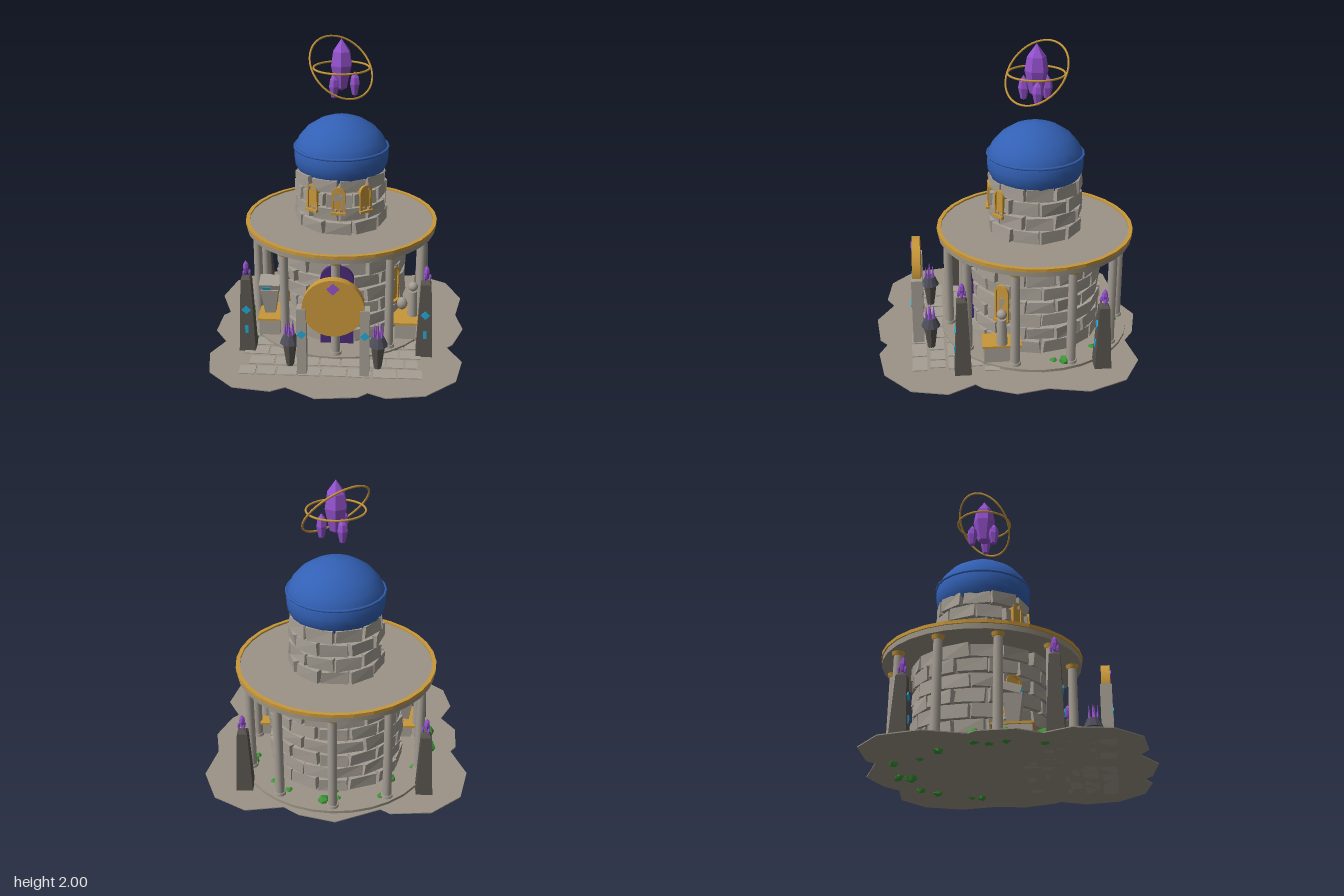
import * as THREE from 'three';

const mat = (name, color) => Object.assign(new THREE.MeshStandardMaterial({ color }), { name });
const M = {
  ground: mat('ground', 0x9c9486), stone: mat('stone', 0xa59e94), gold: mat('gold', 0xc8973a),
  blue: mat('domeBlue', 0x3260b4), crystal: mat('crystal', 0x9552cf), door: mat('doorPurple', 0x4a2a7a),
  leaf: mat('leaf', 0x3c9636), rune: mat('rune', 0x22aad6), dark: mat('darkStone', 0x58534d), iron: mat('iron', 0x4c4d59),
};

let seed = 7;
const rnd = (a = 1) => { seed = (seed * 16807) % 2147483647; return (seed / 2147483647 - 0.5) * 2 * a; };

function add(parent, name, geo, material, x = 0, y = 0, z = 0) {
  const m = new THREE.Mesh(geo, material);
  m.name = name;
  m.position.set(x, y, z);
  parent.add(m);
  return m;
}
function group(parent, name, x = 0, y = 0, z = 0, ry = 0) {
  const g = new THREE.Group();
  g.name = name;
  g.position.set(x, y, z);
  g.rotation.y = ry;
  parent.add(g);
  return g;
}
function flat(geo) {
  const g = geo.index ? geo.toNonIndexed() : geo;
  g.computeVertexNormals();
  return g;
}
const box = (w, h, d) => new THREE.BoxGeometry(w, h, d);
const cyl = (rt, rb, h, n = 16) => new THREE.CylinderGeometry(rt, rb, h, n);
const lathe = (pts, n) => new THREE.LatheGeometry(pts.map(p => new THREE.Vector2(...p)), n);

// Six-sided gem from its base at y = 0
const gem = (r, h) => flat(lathe([[0, 0], [r * 0.55, h * 0.07], [r, h * 0.5], [r * 0.8, h * 0.76], [0, h]], 6));

// Rough block: chamfered on the outer (+z) face, corners nudged
function block(w, h, d) {
  const g = box(w, h, d).toNonIndexed(), p = g.attributes.position;
  const n = [...Array(8)].map(() => [rnd(0.006), rnd(0.005), rnd(0.006)]);
  for (let i = 0; i < p.count; i++) {
    const x = p.getX(i), y = p.getY(i), z = p.getZ(i);
    const j = n[(x > 0) + 2 * (y > 0) + 4 * (z > 0)], s = z > 0 ? 0.94 : 1;
    p.setXYZ(i, x * s + j[0], y * s + j[1], z + j[2]);
  }
  g.computeVertexNormals();
  return g;
}

// Arched panel, base at y = 0, with optional hole making it a frame
function arch(w, h, depth, rim = 0) {
  const outline = (s, w, h, y0) => {
    s.moveTo(-w / 2, y0); s.lineTo(w / 2, y0); s.lineTo(w / 2, h - w / 2);
    s.absarc(0, h - w / 2, w / 2, 0, Math.PI, false); s.lineTo(-w / 2, y0);
    return s;
  };
  const s = outline(new THREE.Shape(), w, h, 0);
  if (rim) s.holes.push(outline(new THREE.Path(), w - 2 * rim, h - rim, rim));
  return new THREE.ExtrudeGeometry(s, { depth, bevelEnabled: false, curveSegments: 8 });
}

// Rings of bricks around a core
function brickTower(parent, name, r, y0, rows, rowH, count) {
  const g = group(parent, name);
  add(g, 'core', cyl(r - 0.025, r - 0.025, rows * rowH, 28), M.stone, 0, y0 + rows * rowH / 2);
  const w = 2 * Math.PI * r / count - 0.008;
  for (let i = 0; i < rows; i++) for (let k = 0; k < count; k++) {
    const a = (k + (i % 2) / 2) / count * Math.PI * 2 + rnd(0.015), rr = r - 0.045 + rnd(0.006);
    const b = add(g, 'brick', block(w, rowH - 0.008, 0.09), M.stone, Math.sin(a) * rr, y0 + (i + 0.5) * rowH, Math.cos(a) * rr);
    b.rotation.set(0, a + rnd(0.02), rnd(0.02));
  }
}

function windowAt(parent, angle, r, y, w, h) {
  const g = group(parent, 'window', Math.sin(angle) * r, y, Math.cos(angle) * r, angle);
  add(g, 'windowPane', arch(w - 0.01, h, 0.03), M.gold, 0, 0, -0.03);
  add(g, 'windowFrame', arch(w, h, 0.04, 0.014), M.gold, 0, 0, -0.03);
  add(g, 'windowSill', box(w + 0.005, 0.016, 0.045), M.gold, 0, 0.008, 0);
}

function diamond(parent, material, size, x, y, z) {
  add(parent, 'diamond', box(size, size, 0.008), material, x, y, z).rotation.z = Math.PI / 4;
}

function gemCluster(parent, r, h, x, y, z) {
  const g = group(parent, 'gemCluster', x, y, z);
  add(g, 'mainGem', gem(r, h), M.crystal, 0, h * 0.1, 0);
  for (let k = 0; k < 3; k++) {
    const a = k * Math.PI * 2 / 3;
    add(g, 'sideGem', gem(r * 0.47, h * 0.48), M.crystal, Math.cos(a) * r * 1.15, 0, Math.sin(a) * r * 1.15);
  }
}

function obelisk(parent, x, z, h) {
  const g = group(parent, 'obelisk', x, 0.04, z);
  add(g, 'shaft', flat(cyl(0.046, 0.076, h, 4).rotateY(Math.PI / 4)), M.dark, 0, h / 2);
  add(g, 'cap', flat(cyl(0.03, 0.046, 0.012, 4).rotateY(Math.PI / 4)), M.dark, 0, h + 0.006);
  gemCluster(g, 0.02, 0.095, 0, h + 0.02, 0);
  const face = y => 0.054 - 0.0215 * y / h + 0.002;
  diamond(g, M.rune, 0.042, 0, 0.3, face(0.3));
  add(g, 'rune', box(0.022, 0.05, 0.008), M.rune, 0, 0.16, face(0.16));
}

export function createModel() {
  const root = new THREE.Group();
  root.name = 'observatory';

  // Ground slab
  const edge = [[-.02, -.9], [.21, -.84], [.31, -.77], [.55, -.81], [.76, -.69], [.86, -.45], [.81, -.2], [.85, 0], [.77, .21], [.73, .25],
    [.82, .42], [.77, .65], [.58, .82], [.34, .86], [.23, .81], [.17, .86], [-.09, .89], [-.28, .78], [-.37, .83], [-.61, .8], [-.78, .64],
    [-.82, .42], [-.74, .26], [-.83, .12], [-.82, -.09], [-.78, -.14], [-.87, -.38], [-.81, -.63], [-.62, -.79], [-.36, -.81], [-.3, -.77]];
  const slab = new THREE.Shape(edge.map(([x, z]) => new THREE.Vector2(x, -z)));
  add(root, 'ground', new THREE.ExtrudeGeometry(slab, { depth: 0.006, bevelEnabled: false }).rotateX(-Math.PI / 2), M.ground, 0, 0.034);

  // Paving in staggered rows
  const paving = group(root, 'paving');
  for (let r = 0; r < 5; r++) {
    let x = r % 2 ? -0.55 : -0.6;
    const end = r % 2 ? 0.54 : 0.6;
    while (x < end - 0.06) {
      const w = Math.min(0.145 + rnd(0.03), end - x);
      const p = add(paving, 'pavingStone', box(w - 0.012, 0.012, 0.095), M.stone, x + w / 2, 0.04, 0.6 - r * 0.117 + rnd(0.005));
      p.rotation.y = rnd(0.03);
      x += w;
    }
  }

  // Tower, terrace roof and dome
  const tower = group(root, 'tower', 0.003, 0, -0.188);
  add(tower, 'platform', cyl(0.635, 0.635, 0.022, 32), M.ground, 0, 0.047);
  brickTower(tower, 'lowerTower', 0.435, 0.055, 7, 0.096, 14);
  add(tower, 'terrace', cyl(0.64, 0.64, 0.045, 32), M.ground, 0, 0.7475);
  add(tower, 'terraceRim', lathe([[0.622, 0.76], [0.648, 0.76], [0.648, 0.782], [0.622, 0.782], [0.622, 0.76]], 32).toNonIndexed(), M.gold).geometry.computeVertexNormals();
  brickTower(tower, 'upperTower', 0.295, 0.77, 4, 0.096, 10);
  add(tower, 'dome', lathe([[.25, 1.09], [.285, 1.13], [.307, 1.18], [.313, 1.23], [.308, 1.29], [.28, 1.35], [.228, 1.41], [.15, 1.46], [.08, 1.485], [0, 1.495]], 24), M.blue);
  add(tower, 'domeBand', new THREE.TorusGeometry(0.31, 0.009, 6, 24).rotateX(Math.PI / 2), M.blue, 0, 1.29);

  // Colonnade
  for (let k = 0; k < 10; k++) {
    const a = k * Math.PI / 5, c = group(tower, 'column', Math.sin(a) * 0.58, 0, Math.cos(a) * 0.58, a);
    add(c, 'columnShaft', cyl(0.028, 0.031, 0.65, 10), M.stone, 0, 0.38);
    add(c, 'columnBase', cyl(0.037, 0.04, 0.022, 10), M.stone, 0, 0.066);
    add(c, 'columnCapital', cyl(0.042, 0.034, 0.025, 10), M.gold, 0, 0.713);
  }

  // Door and windows
  add(tower, 'door', arch(0.22, 0.57, 0.04), M.door, 0, 0.055, 0.415);
  add(tower, 'doorKnob', new THREE.SphereGeometry(0.012, 8, 6), M.gold, 0.07, 0.275, 0.46);
  for (const a of [-1, 0, 1]) windowAt(tower, a * 0.61, 0.3, 0.92, 0.088, 0.185);
  for (const s of [-1, 1]) windowAt(tower, s * 0.98, 0.445, 0.27, 0.1, 0.26);

  // Floating crystal with two rings
  const float = group(tower, 'floatingCrystal');
  gemCluster(float, 0.075, 0.34, 0, 1.627, 0);
  add(float, 'levelRing', new THREE.TorusGeometry(0.18, 0.007, 6, 40).rotateX(Math.PI / 2), M.gold, 0, 1.812);
  const ring = add(float, 'tiltedRing', new THREE.TorusGeometry(0.228, 0.007, 6, 40), M.gold, 0, 1.815);
  ring.quaternion.setFromUnitVectors(new THREE.Vector3(0, 0, 1), new THREE.Vector3(0.51, 0.63, 0.58).normalize());

  // Gate: two pillars holding a gold disc
  const gate = group(root, 'gate', 0.003, 0, 0.602);
  add(gate, 'gateDisc', cyl(0.192, 0.192, 0.055, 28).rotateX(Math.PI / 2), M.gold, 0, 0.51);
  diamond(gate, M.crystal, 0.056, 0, 0.645, 0.029);
  for (const s of [-1, 1]) {
    add(gate, 'gatePillar', box(0.06, 0.465, 0.072), M.stone, s * 0.196, 0.272);
    diamond(gate, M.rune, 0.042, s * 0.196, 0.33, 0.037);
  }

  for (const s of [-1, 1]) {
    obelisk(root, s * 0.577, 0.323, 0.51);
    obelisk(root, s * 0.577, -0.565, 0.425);

    // Braziers with crystal flames
    const b = group(root, 'brazier', s * 0.28, 0, 0.52);
    add(b, 'brazierStem', flat(cyl(0.046, 0.024, 0.17, 8)), M.dark, 0, 0.122);
    add(b, 'brazierBowl', flat(cyl(0.036, 0.063, 0.06, 10)), M.iron, 0, 0.235);
    for (let k = 0; k < 6; k++) {
      const a = k * Math.PI * 2 / 5, r = k < 5 ? 0.027 : 0, h = k < 5 ? 0.1 : 0.12;
      add(b, 'brazierFlame', flat(cyl(0, 0.012, h, 5)), M.crystal, Math.sin(a) * r, 0.25 + h / 2, Math.cos(a) * r);
    }

    // Side plinths
    const p = group(root, 'plinth', s * 0.455, 0, 0.07);
    add(p, 'plinthBody', box(0.14, 0.12, 0.19), M.stone, 0, 0.108, 0.02);
    add(p, 'plinthTop', box(0.16, 0.014, 0.25), M.gold, 0, 0.174, 0);
  }

  // Statue on the left plinth
  const statue = group(root, 'statue', 0.5, 0, 0.07);
  add(statue, 'statueBody', cyl(0.028, 0.036, 0.18, 10), M.stone, 0, 0.27);
  add(statue, 'statueHead', new THREE.SphereGeometry(0.033, 12, 8), M.stone, 0, 0.393);
  add(statue, 'statueShield', new THREE.SphereGeometry(0.04, 10, 8), M.stone, -0.07, 0.265).scale.set(0.9, 1.1, 0.8);

  // Lectern on the right plinth
  const lectern = group(root, 'lectern', -0.46, 0, 0.07);
  add(lectern, 'lecternStand', flat(cyl(0.085, 0.05, 0.18, 4).rotateY(Math.PI / 4)), M.stone, 0, 0.27);
  const desk = group(lectern, 'desk', 0, 0.39, 0);
  desk.rotation.x = 0.3;
  add(desk, 'deskTop', box(0.14, 0.05, 0.11), M.stone);
  add(desk, 'deskRune', box(0.05, 0.022, 0.008), M.rune, -0.02, 0, 0.056);

  // Bushes
  for (const [x, z, r] of [[-.63, -.13, .05], [-.6, -.05, .04], [-.63, .05, .05], [-.57, .26, .055], [-.36, -.49, .04], [.06, -.72, .04],
    [-.03, -.69, .032], [.39, -.53, .035], [.55, -.33, .042], [.53, -.26, .035], [-.3, -.66, .035], [.29, -.62, .035], [-.52, -.35, .036]])
    add(root, 'bush', flat(new THREE.IcosahedronGeometry(r, 0)), M.leaf, x, r * 0.95 + 0.015 + (r < 0.04 ? -0.008 : 0.005), z).rotation.set(rnd(1), rnd(3), rnd(1));
  add(root, 'bush', flat(new THREE.IcosahedronGeometry(0.045, 0)), M.leaf, 0, 0.0383, -0.62);

  return root;
}
